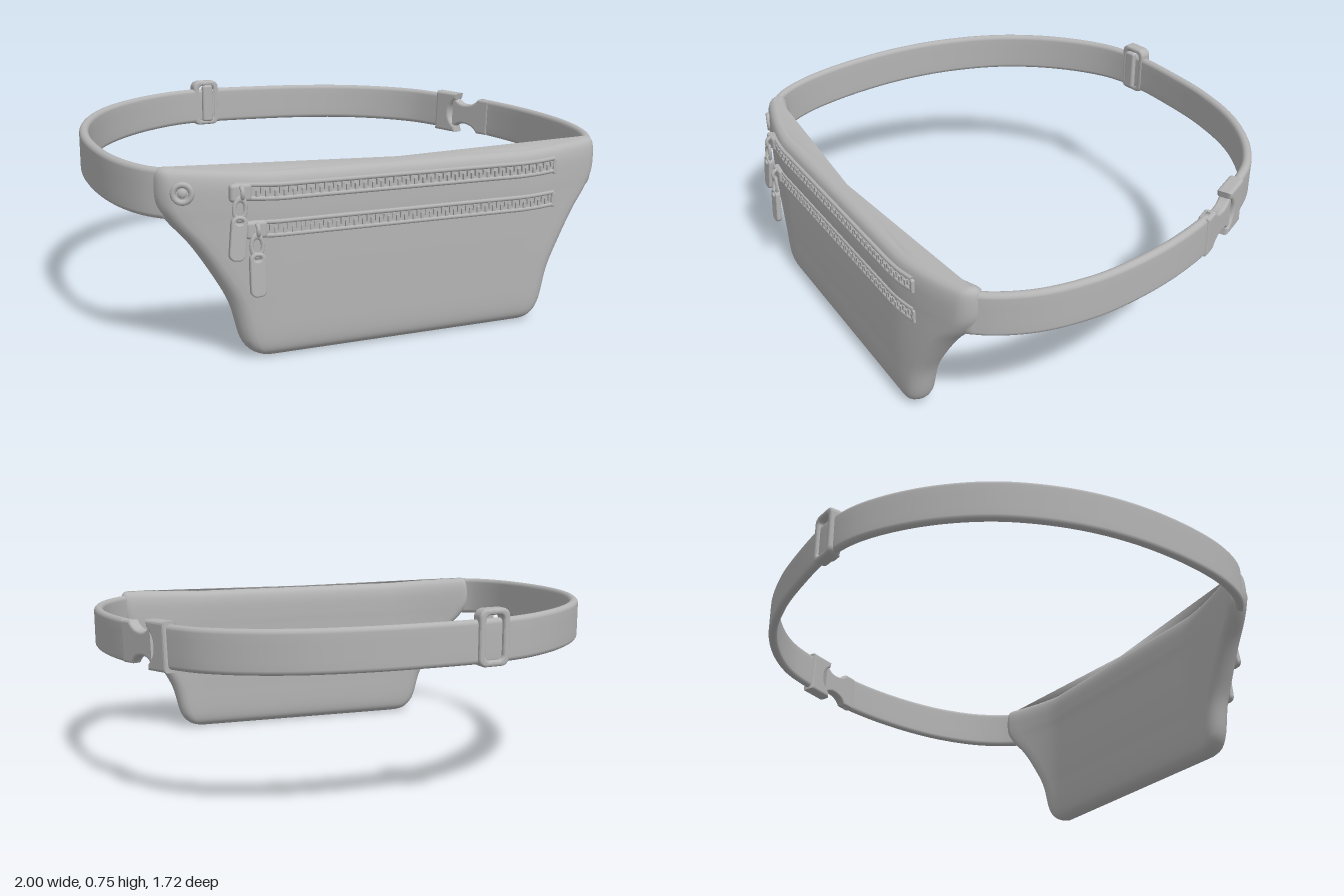
import * as THREE from 'three';
import { RoundedBoxGeometry } from 'three/addons/geometries/RoundedBoxGeometry.js';
import { mergeGeometries } from 'three/addons/utils/BufferGeometryUtils.js';

const grey = new THREE.MeshStandardMaterial({ color: 0xb4b4b4 });
grey.name = 'grey';

function add(parent, name, geometry, x = 0, y = 0, z = 0) {
  const mesh = new THREE.Mesh(geometry, grey);
  mesh.name = name;
  mesh.position.set(x, y, z);
  parent.add(mesh);
  return mesh;
}

// Skin over a list of closed rings of Vector3, with both ends capped
function loft(rings) {
  const n = rings[0].length, pos = [], idx = [];
  rings.forEach(r => r.forEach(p => pos.push(p.x, p.y, p.z)));
  for (let i = 0; i < rings.length - 1; i++) {
    for (let j = 0; j < n; j++) {
      const a = i * n + j, b = i * n + (j + 1) % n;
      idx.push(a, a + n, b, b, a + n, b + n);
    }
  }
  [0, rings.length - 1].forEach((row, end) => {
    const c = new THREE.Vector3();
    rings[row].forEach(p => c.addScaledVector(p, 1 / n));
    const k = pos.length / 3;
    pos.push(c.x, c.y, c.z);
    for (let j = 0; j < n; j++) {
      const a = row * n + j, b = row * n + (j + 1) % n;
      if (end) idx.push(k, b, a); else idx.push(k, a, b);
    }
  });
  const g = new THREE.BufferGeometry();
  g.setAttribute('position', new THREE.Float32BufferAttribute(pos, 3));
  g.setIndex(idx);
  g.computeVertexNormals();
  return g;
}

// Long section with round ends: half width w, half thickness h
function stadium(w, h, n) {
  const a = w - h, pts = [];
  for (const s of [1, -1]) {
    for (let i = 0; i <= 8; i++) {
      const t = -Math.PI / 2 + Math.PI * i / 8;
      pts.push([s * (a + h * Math.cos(t)), s * h * Math.sin(t)]);
    }
    for (let i = 1; i < n; i++) pts.push([s * (a - 2 * a * i / n), s * h]);
  }
  return pts;
}

function roundRect(target, w, h, r) {
  target.moveTo(-w + r, -h);
  target.lineTo(w - r, -h).absarc(w - r, -h + r, r, -Math.PI / 2, 0);
  target.lineTo(w, h - r).absarc(w - r, h - r, r, 0, Math.PI / 2);
  target.lineTo(-w + r, h).absarc(-w + r, h - r, r, Math.PI / 2, Math.PI);
  target.lineTo(-w, -h + r).absarc(-w + r, -h + r, r, Math.PI, Math.PI * 1.5);
  return target;
}

function plate(shape, depth, bevel) {
  const g = new THREE.ExtrudeGeometry(shape, {
    depth: depth - 2 * bevel, bevelThickness: bevel, bevelSize: bevel,
    bevelOffset: -bevel, bevelSegments: 3, curveSegments: 8,
  });
  return g.translate(0, 0, bevel - depth / 2);
}

// The pouch ends sweep back and slightly up
const sweepBack = x => Math.max(0, Math.abs(x) - 0.48) / 0.38;
const bodyZ = x => 0.757 - 0.085 * Math.pow(sweepBack(x), 1.6);
const frontZ = x => bodyZ(x) + 0.047;
const liftY = (x, y) => y + 0.022 * Math.min(1, sweepBack(x)) * y / 0.65;

function pouchGeometry() {
  // half width, height, half thickness
  const profile = new THREE.CatmullRomCurve3([
    [0.47, 0.003, 0.004], [0.525, 0.012, 0.025], [0.56, 0.032, 0.042], [0.587, 0.07, 0.05],
    [0.625, 0.2, 0.052], [0.68, 0.3, 0.052], [0.748, 0.4, 0.051], [0.82, 0.48, 0.05],
    [0.848, 0.53, 0.05], [0.853, 0.6, 0.046], [0.848, 0.632, 0.036], [0.835, 0.646, 0.02],
    [0.82, 0.65, 0.004],
  ].map(p => new THREE.Vector3(...p)));
  return loft(profile.getPoints(72).map(p => stadium(p.x, p.z, 40).map(([u, v]) => {
    const x = u - 0.01;
    return new THREE.Vector3(x, liftY(x, p.y), bodyZ(x) + v);
  })));
}

const strapY = (x, z) => 0.575 + (0.65 - z) * 0.043 - 0.01 * x;

function strapGeometry(points, steps) {
  const curve = new THREE.CatmullRomCurve3(points.map(([x, z]) => new THREE.Vector3(x, strapY(x, z), z)));
  const up = new THREE.Vector3(0, 1, 0), rings = [];
  for (let i = 0; i <= steps; i++) {
    const p = curve.getPointAt(i / steps), side = curve.getTangentAt(i / steps).cross(up).normalize();
    const half = 0.083 + 0.004 * p.z;
    rings.push(stadium(half, 0.018, 4).map(([u, v]) =>
      p.clone().addScaledVector(side, -v).addScaledVector(up, u)));
  }
  return loft(rings);
}

function zipper(name, y, x0, x1) {
  const g = new THREE.Group();
  g.name = name;
  const at = (x, dy, dz) => new THREE.Vector3(x, liftY(x, y) + dy, frontZ(x) + dz);
  // raised lips above and below the teeth
  for (const s of [1, -1]) {
    const pts = [];
    for (let i = 0; i <= 16; i++) pts.push(at(x0 + (x1 - x0) * i / 16, s * 0.023, 0.002));
    add(g, 'zipperLip', new THREE.TubeGeometry(new THREE.CatmullRomCurve3(pts), 48, 0.008, 8));
  }
  add(g, 'zipperStop', new RoundedBoxGeometry(0.016, 0.056, 0.02, 2, 0.006), x1, y, frontZ(x1));
  const teeth = [];
  const count = Math.round((x1 - x0) / 0.016);
  for (let i = 0; i < count; i++) {
    const p = at(x0 + (i + 0.5) * 0.016, i % 2 ? 0.005 : -0.005, 0.002);
    teeth.push(new THREE.BoxGeometry(0.01, 0.021, 0.016).translate(p.x, p.y, p.z));
  }
  add(g, 'zipperTeeth', mergeGeometries(teeth));
  return g;
}

function zipperPull(name, x, y, tilt) {
  const g = new THREE.Group();
  g.name = name;
  g.position.set(x, y, frontZ(x));
  add(g, 'sliderBody', new RoundedBoxGeometry(0.075, 0.06, 0.03, 3, 0.012), 0, 0, 0.008);
  const bridge = add(g, 'sliderBridge', new THREE.TorusGeometry(0.02, 0.008, 8, 16, Math.PI), 0, 0, 0.018);
  bridge.rotation.set(0, Math.PI / 2, Math.PI / 2);
  const hanging = new THREE.Group();
  hanging.name = 'pullTab';
  hanging.position.set(-0.005, -0.01, 0.03);
  hanging.rotation.set(-0.06, 0, tilt);
  g.add(hanging);
  const link = add(hanging, 'pullLink', new THREE.TorusGeometry(0.02, 0.007, 8, 20), 0, -0.04, 0);
  link.scale.y = 1.7;
  const tag = roundRect(new THREE.Shape(), 0.028, 0.075, 0.022);
  tag.holes.push(new THREE.Path().absellipse(0, 0.055, 0.012, 0.008, 0, Math.PI * 2, true));
  add(hanging, 'pullTag', plate(tag, 0.022, 0.006), 0, -0.137, 0);
  return g;
}

function buckle() {
  const g = new THREE.Group();
  g.name = 'buckle';
  g.position.set(0.862, strapY(0.862, -0.33), -0.33);
  g.rotation.set(0, Math.atan2(0.908, -0.419), 0.045);
  // waisted insert half
  const s = new THREE.Shape();
  s.moveTo(-0.145, -0.08);
  s.lineTo(-0.085, -0.08).quadraticCurveTo(-0.06, -0.045, -0.01, -0.045);
  s.quadraticCurveTo(0.03, -0.045, 0.05, -0.08).lineTo(0.05, 0.08);
  s.quadraticCurveTo(0.03, 0.045, -0.01, 0.045);
  s.quadraticCurveTo(-0.06, 0.045, -0.085, 0.08).lineTo(-0.145, 0.08);
  add(g, 'buckleInsert', plate(s, 0.045, 0.01));
  // socket half with a notched mouth
  const f = new THREE.Shape();
  f.moveTo(0.03, -0.092);
  f.lineTo(0.15, -0.092).lineTo(0.15, 0.092).lineTo(0.03, 0.092);
  f.lineTo(0.035, 0.065).quadraticCurveTo(0.075, 0.04, 0.075, 0);
  f.quadraticCurveTo(0.075, -0.04, 0.035, -0.065);
  add(g, 'buckleSocket', plate(f, 0.058, 0.012));
  return g;
}

function strapAdjuster() {
  const g = new THREE.Group();
  g.name = 'strapAdjuster';
  g.position.set(-0.262, 0.655, -0.835);
  g.rotation.y = 0.12;
  const frame = roundRect(new THREE.Shape(), 0.062, 0.103, 0.03);
  frame.holes.push(roundRect(new THREE.Path(), 0.036, 0.08, 0.018));
  add(g, 'adjusterFrame', plate(frame, 0.052, 0.01));
  add(g, 'adjusterBar', new RoundedBoxGeometry(0.05, 0.17, 0.024, 3, 0.01), 0, 0, 0.034);
  return g;
}

export function createModel() {
  const model = new THREE.Group();
  model.name = 'waistBag';
  add(model, 'pouch', pouchGeometry());

  // belt: short run to the buckle, then the long run around the back
  add(model, 'leftStrap', strapGeometry([[0.8, 0.7], [0.86, 0.63], [0.93, 0.5], [0.972, 0.33], [0.98, 0.18],
    [0.962, -0.02], [0.92, -0.2], [0.905, -0.235]], 40));
  add(model, 'backStrap', strapGeometry([[0.825, -0.41], [0.79, -0.48], [0.72, -0.59], [0.6, -0.695],
    [0.42, -0.785], [0.2, -0.832], [0, -0.842], [-0.25, -0.832], [-0.4, -0.795], [-0.55, -0.71], [-0.7, -0.58],
    [-0.83, -0.41], [-0.93, -0.18], [-0.975, 0.05], [-0.975, 0.3], [-0.94, 0.5], [-0.88, 0.63], [-0.81, 0.7]], 110));
  model.add(buckle(), strapAdjuster());

  model.add(zipper('upperZipper', 0.585, -0.62, 0.605), zipper('lowerZipper', 0.46, -0.56, 0.605));
  model.add(zipperPull('upperZipperPull', -0.605, 0.59, -0.1), zipperPull('lowerZipperPull', -0.555, 0.463, 0));

  // ring rivet on the swept-back end
  const rivet = new THREE.Group();
  rivet.name = 'rivet';
  rivet.position.set(-0.785, 0.59, frontZ(-0.785) + 0.003);
  rivet.rotation.y = -0.31;
  add(rivet, 'rivetRing', new THREE.TorusGeometry(0.03, 0.01, 10, 28));
  add(rivet, 'rivetCentre', new THREE.SphereGeometry(0.016, 16, 10)).scale.z = 0.5;
  model.add(rivet);
  return model;
}
